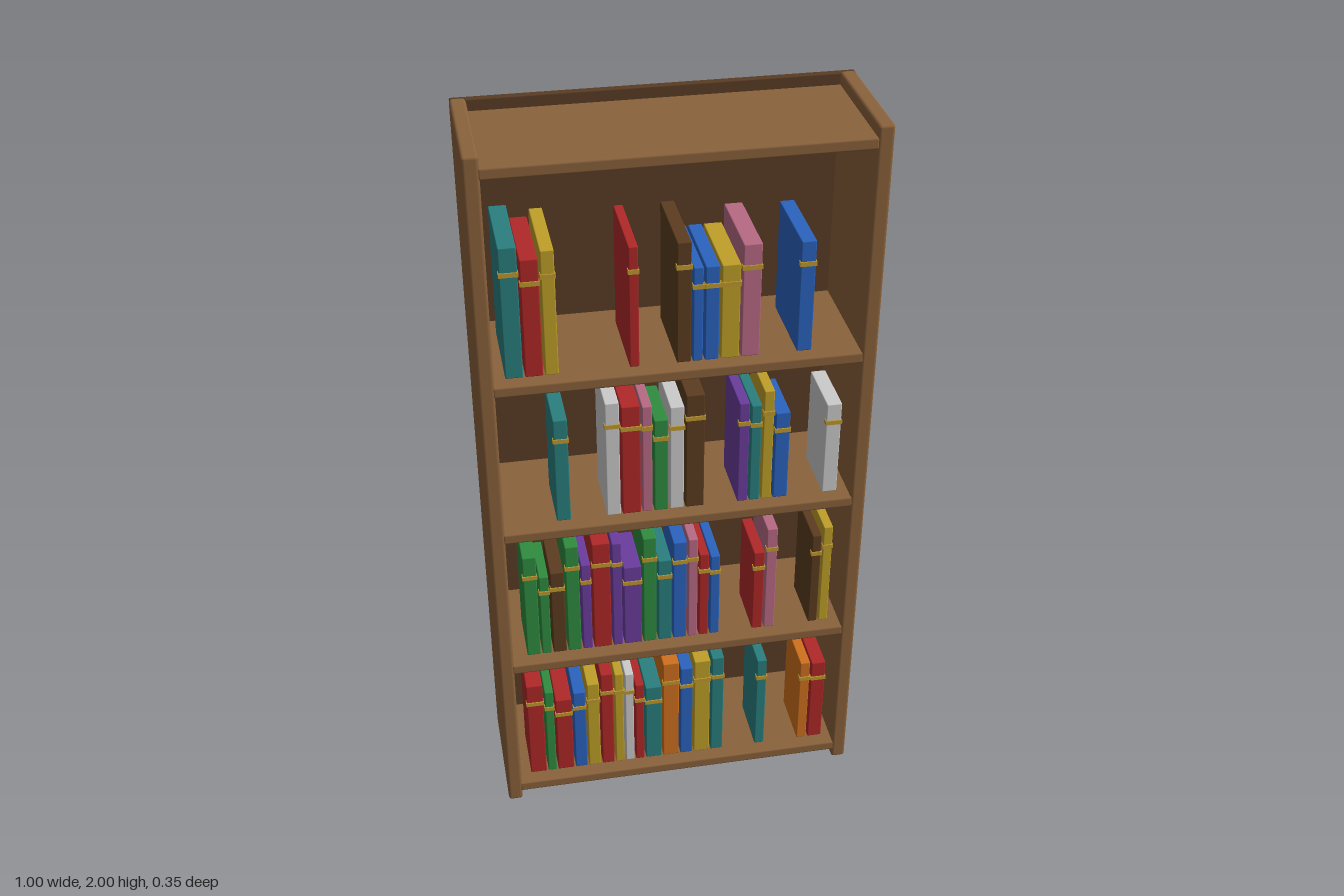
import * as THREE from 'three';
import { RoundedBoxGeometry } from 'three/addons/geometries/RoundedBoxGeometry.js';

const mat = (color) => new THREE.MeshStandardMaterial({ color });
const wood = mat(0x8a623c), darkWood = mat(0x5a3c24), gold = mat(0xc09a30);
const teal = mat(0x2a7f7f), red = mat(0xb02828), yellow = mat(0xc0a028), brown = mat(0x5c3d20), blue = mat(0x2a64c0);
const pink = mat(0xb86a84), purple = mat(0x6a3d9e), green = mat(0x2f8c40), white = mat(0xd0d0d0), orange = mat(0xd0701e);

// Usual book thicknesses, and the gap between neighbours
const thin = 0.024, mid = 0.034, thick = 0.045, gap = 0.005;

function block(name, material, w, h, d, x, y, z, r) {
  const mesh = new THREE.Mesh(new RoundedBoxGeometry(w, h, d, 2, r), material);
  mesh.name = name;
  mesh.position.set(x, y, z);
  return mesh;
}

// A book with a thin gold band across its spine
function createBook(cover, x, w, h, y, depth) {
  const front = 0.137;
  const book = new THREE.Group();
  book.name = 'book';
  book.add(block('cover', cover, w, h, depth, x, y + h / 2, front - depth / 2, 0.003));
  const band = new THREE.Mesh(new THREE.BoxGeometry(w + 0.004, 0.012, 0.016), gold);
  band.name = 'spineBand';
  band.position.set(x, y + h * 0.8, front - 0.005);
  book.add(band);
  return book;
}

// A shelf's books; each run fills its span with books of [cover, thickness, height]
function createRow(y, depth, runs) {
  const row = new THREE.Group();
  row.name = 'bookRow';
  for (const { from, to, books } of runs) {
    const total = books.reduce((sum, [, thickness]) => sum + thickness, 0);
    const fit = (to - from - gap * (books.length - 1)) / total;
    let x = from;
    for (const [cover, thickness, h] of books) {
      const w = thickness * fit;
      row.add(createBook(cover, x + w / 2, w, h, y, depth));
      x += w + gap;
    }
  }
  return row;
}

export function createModel() {
  const model = new THREE.Group();
  model.name = 'bookcase';

  // Frame: two sides and a dark back panel
  for (const s of [-1, 1]) {
    model.add(block(s > 0 ? 'leftSide' : 'rightSide', wood, 0.04, 2, 0.345, s * 0.48, 1, 0.0025, 0.008));
  }
  model.add(block('backPanel', darkWood, 0.998, 1.998, 0.02, 0, 1, -0.167, 0.003));

  // Bottom, three shelves and top board
  for (const top of [0.06, 0.505, 0.95, 1.395, 1.97]) {
    model.add(block('shelf', wood, 0.93, 0.031, 0.335, 0, top - 0.0155, 0.0065, 0.006));
  }

  // Top row
  model.add(createRow(1.395, 0.23, [
    { from: -0.43, to: -0.298, books: [[teal, thick, 0.355], [red, thick, 0.32], [yellow, mid, 0.34]] },
    { from: -0.122, to: -0.098, books: [[red, thin, 0.33]] },
    { from: -0.004, to: 0.205, books: [
      [brown, mid, 0.33], [blue, thin, 0.26], [blue, mid, 0.26], [yellow, thick, 0.26], [pink, thick, 0.31]] },
    { from: 0.301, to: 0.339, books: [[blue, mid, 0.305]] },
  ]));

  // Second row
  model.add(createRow(0.95, 0.17, [
    { from: -0.32, to: -0.283, books: [[teal, mid, 0.31]] },
    { from: -0.188, to: 0.069, books: [
      [white, mid, 0.345], [red, thick, 0.33], [pink, thin, 0.325],
      [green, mid, 0.28], [white, mid, 0.315], [brown, thick, 0.345]] },
    { from: 0.159, to: 0.294, books: [
      [purple, thin, 0.305], [teal, thin, 0.295], [yellow, thin, 0.335], [blue, mid, 0.265]] },
    { from: 0.39, to: 0.43, books: [[white, thick, 0.275]] },
  ]));

  // Third row
  model.add(createRow(0.505, 0.16, [
    { from: -0.418, to: 0.117, books: [
      [green, mid, 0.335], [green, thin, 0.265], [brown, mid, 0.275], [green, mid, 0.355], [purple, thin, 0.29],
      [red, thick, 0.355], [purple, thin, 0.35], [purple, thick, 0.265], [green, mid, 0.355], [teal, mid, 0.275],
      [blue, mid, 0.33], [pink, thin, 0.335], [red, thin, 0.28], [blue, thin, 0.27]] },
    { from: 0.211, to: 0.275, books: [[red, mid, 0.265], [pink, mid, 0.34]] },
    { from: 0.373, to: 0.429, books: [[brown, thin, 0.3], [yellow, thin, 0.325]] },
  ]));

  // Bottom row
  model.add(createRow(0.06, 0.16, [
    { from: -0.429, to: 0.135, books: [
      [red, thick, 0.33], [green, thin, 0.3], [red, thick, 0.265], [blue, mid, 0.285], [yellow, mid, 0.31],
      [red, mid, 0.34], [yellow, thin, 0.335], [white, thin, 0.33], [red, thin, 0.285], [teal, thick, 0.27],
      [orange, thick, 0.35], [blue, mid, 0.325], [yellow, thick, 0.345], [teal, mid, 0.35]] },
    { from: 0.232, to: 0.26, books: [[teal, thin, 0.32]] },
    { from: 0.36, to: 0.434, books: [[orange, thin, 0.29], [red, mid, 0.285]] },
  ]));
  return model;
}
